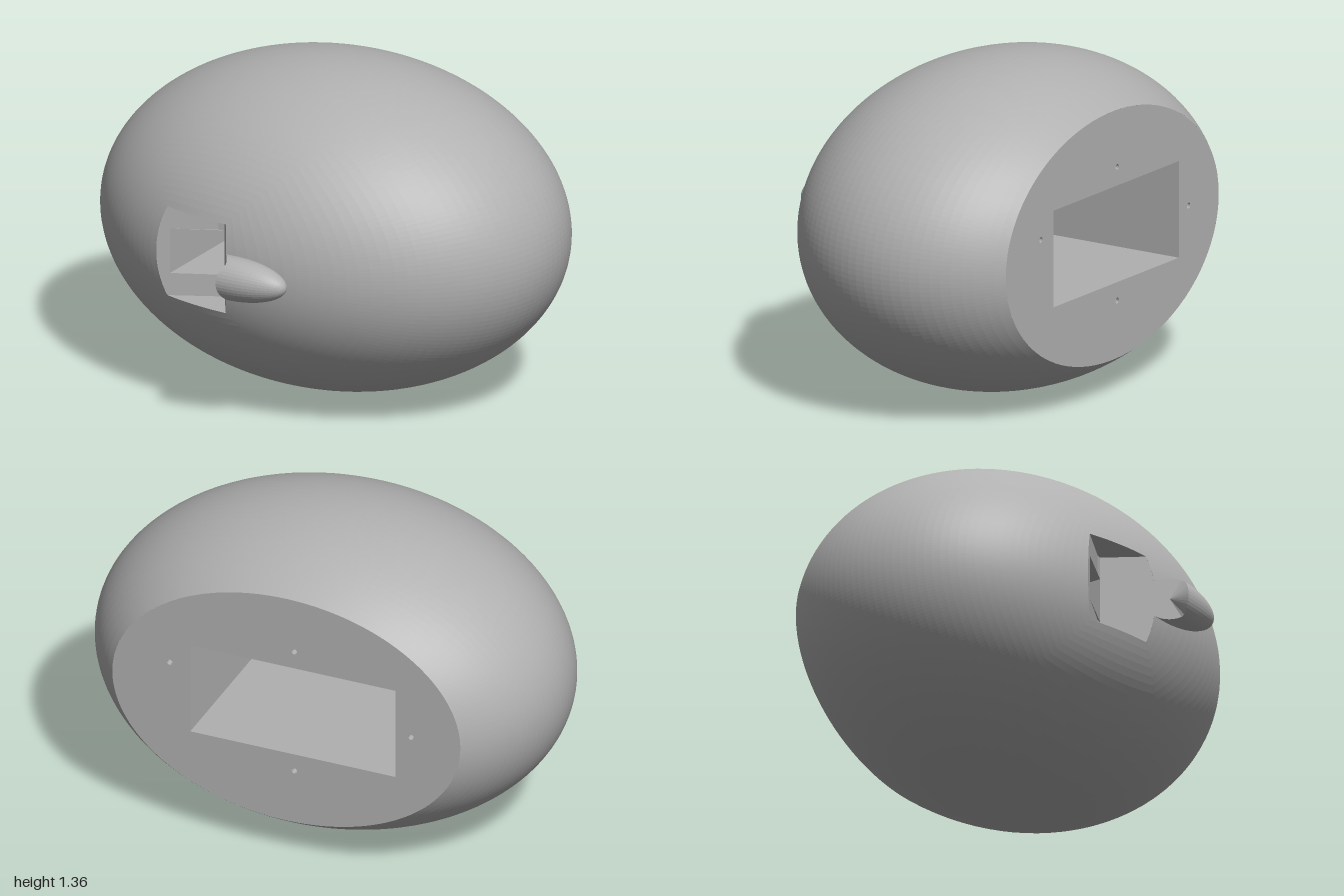
import * as THREE from 'three';

const RX = 1, RY = 0.68, RZ = 0.77, CZ = -0.205, CY = 0.684; // body ellipsoid
const BACK = -0.705;                                         // flat rear cut
const CAVITY_END = 0.04;
const NOTCH_H = 0.19, WIN_H = 0.095;

const grey = new THREE.MeshStandardMaterial({ color: 0xb0b0b0, flatShading: true, side: THREE.DoubleSide });
grey.name = 'plain grey';

// Grid surface from fn(column, row) -> [x, y, z]; cells can be skipped
function surface(cols, rows, fn, skip = () => false) {
  const pos = [], idx = [];
  for (let v = 0; v <= rows; v++) for (let u = 0; u <= cols; u++) pos.push(...fn(u, v));
  for (let v = 0; v < rows; v++) for (let u = 0; u < cols; u++) {
    if (skip(u, v)) continue;
    const a = v * (cols + 1) + u, b = a + 1, c = b + cols + 1, d = c - 1;
    idx.push(a, b, c, a, c, d);
  }
  const g = new THREE.BufferGeometry();
  g.setAttribute('position', new THREE.Float32BufferAttribute(pos, 3));
  g.setIndex(idx);
  g.computeVertexNormals();
  return g;
}

// Slanted notch planes: a floor and a wall meeting in a V
const floorZ = x => 0.49 - 0.5 * (x + 0.42);
const wallZ = x => 0.375 + 1.6 * (x + 0.175);
const wallX = z => -0.175 + (z - 0.375) / 1.6;
const bodyZ = (x, y) => CZ + RZ * Math.sqrt(Math.max(0, 1 - (x / RX) ** 2 - (y / RY) ** 2));
const inNotch = p => Math.abs(p.y) < NOTCH_H && p.z > floorZ(p.x) && p.z > wallZ(p.x);

// Bisect between an inside and an outside value
function edge(inside, outside, test) {
  for (let i = 0; i < 30; i++) {
    const m = (inside + outside) / 2;
    if (test(m)) inside = m; else outside = m;
  }
  return inside;
}
const leftX = y => edge(-0.3, -0.55, x => floorZ(x) < bodyZ(x, y));
const rightX = y => edge(-0.175, 0.1, x => wallZ(x) < bodyZ(x, y));

// Ellipsoid skin swept from the notch outline to the rear cut
function shellGeometry() {
  const segs = 240, rows = 44;
  const c = new THREE.Vector3(-0.24, 0, 0.97).normalize();
  const qz = (BACK - CZ) / RZ, qr = Math.sqrt(1 - qz * qz);
  const arcs = [];
  for (let i = 0; i <= segs; i++) {
    const a = (i / segs) * Math.PI * 2;
    const q = new THREE.Vector3(qr * Math.cos(a), qr * Math.sin(a), qz);
    const T = c.angleTo(q);
    const at = t => c.clone().multiplyScalar(Math.sin((1 - t) * T))
      .addScaledVector(q, Math.sin(t * T)).divideScalar(Math.sin(T))
      .multiply(new THREE.Vector3(RX, RY, RZ)).add(new THREE.Vector3(0, 0, CZ));
    arcs.push({ at, t0: edge(0, 0.35, t => inNotch(at(t))) });
  }
  return surface(rows, segs, (u, v) => {
    const { at, t0 } = arcs[v];
    return at(t0 + (1 - t0) * u / rows).toArray();
  });
}

// Notch floor, fillet strip and wall, with the window left open
function notchGeometry() {
  return surface(4, 12, (u, v) => {
    const y = -NOTCH_H + (v / 12) * 2 * NOTCH_H;
    const x = [leftX(y), -0.375, -0.2, -0.175, rightX(y)][u];
    return [x, y, u < 3 ? floorZ(x) : wallZ(x)];
  }, (u, v) => (u === 1 || u === 2) && v >= 3 && v < 9);
}

// Flat top or bottom side of the notch
function notchSideGeometry() {
  const l = leftX(NOTCH_H), r = rightX(NOTCH_H);
  const s = new THREE.Shape();
  s.moveTo(l, floorZ(l));
  s.lineTo(-0.2, floorZ(-0.2));
  s.lineTo(-0.175, wallZ(-0.175));
  for (let i = 0; i <= 16; i++) {
    const x = r + (l - r) * i / 16;
    s.lineTo(x, bodyZ(x, NOTCH_H));
  }
  return new THREE.ShapeGeometry(s).rotateX(Math.PI / 2);
}

// Four walls of a rectangular passage along z
function passage(x0, x1, h, zFront, zBack) {
  const ring = [[x0, -h], [x1, -h], [x1, h], [x0, h], [x0, -h]];
  return surface(1, 4, (u, v) => {
    const [x, y] = ring[v];
    return [x, y, u ? zBack : zFront(x)];
  });
}

function rectPath(P, x0, x1, h) {
  const p = new P();
  p.moveTo(x0, -h); p.lineTo(x1, -h); p.lineTo(x1, h); p.lineTo(x0, h); p.closePath();
  return p;
}

// Half-ellipsoid knob whose open end follows the notch wall, then flares back
function knobGeometry() {
  const r = 0.09, len = 0.25, cz = 0.612, n = 18, segs = 40;
  return surface(n + 1, segs, (u, v) => {
    if (u === 0) return [wallX(cz), 0, cz];
    const a = (v / segs) * Math.PI * 2;
    const z = cz - r * Math.sin(a);
    const start = z < 0.66 ? wallX(z) : wallX(0.66) - (z - 0.66) * 0.65;
    const x = start + (len - start) * Math.sin(((u - 1) / n) * Math.PI / 2);
    const k = r * Math.sqrt(Math.max(0, 1 - (Math.max(x, 0) / len) ** 2));
    return [x, k * Math.cos(a), cz - k * Math.sin(a)];
  });
}

export function createModel() {
  const model = new THREE.Group();
  model.name = 'hollowEgg';
  const body = new THREE.Group();
  body.name = 'body';
  body.position.y = CY;
  model.add(body);
  const add = (name, geo, x = 0, y = 0, z = 0) => {
    const m = new THREE.Mesh(geo, grey);
    m.name = name;
    m.position.set(x, y, z);
    body.add(m);
  };

  add('shell', shellGeometry());
  add('notchFloor', notchGeometry());
  for (const s of [1, -1]) add(s > 0 ? 'notchTop' : 'notchBottom', notchSideGeometry(), 0, s * NOTCH_H, 0);
  add('knob', knobGeometry());

  // Window passage into the rear cavity
  add('windowPassage', passage(-0.375, -0.175, WIN_H, x => x < -0.3 ? floorZ(x) : wallZ(x), CAVITY_END));
  const cx0 = -0.476, cx1 = 0.42, ch = 0.201;
  add('cavityWalls', passage(cx0, cx1, ch, () => CAVITY_END, BACK));
  const end = rectPath(THREE.Shape, cx0, cx1, ch);
  end.holes.push(rectPath(THREE.Path, -0.375, -0.175, WIN_H));
  add('cavityEnd', new THREE.ShapeGeometry(end), 0, 0, CAVITY_END);

  // Rear face with cavity opening and screw holes
  const k = Math.sqrt(1 - ((BACK - CZ) / RZ) ** 2);
  const rear = new THREE.Shape();
  rear.absellipse(0, 0, RX * k, RY * k, 0, Math.PI * 2);
  rear.holes.push(rectPath(THREE.Path, cx0, cx1, ch));
  const hr = 0.012, depth = 0.06;
  for (const [x, y] of [[0.51, 0.1], [-0.545, 0], [-0.035, 0.278], [-0.035, -0.278]]) {
    const hole = new THREE.Path();
    hole.absarc(x, y, hr, 0, Math.PI * 2);
    rear.holes.push(hole);
    const cup = [[0, 0], [hr, 0], [hr, depth]].map(p => new THREE.Vector2(...p));
    add('screwHole', new THREE.LatheGeometry(cup, 16).rotateX(-Math.PI / 2), x, y, BACK + depth);
  }
  add('rearFace', new THREE.ShapeGeometry(rear, 60).rotateY(Math.PI).scale(-1, 1, 1), 0, 0, BACK);
  return model;
}
